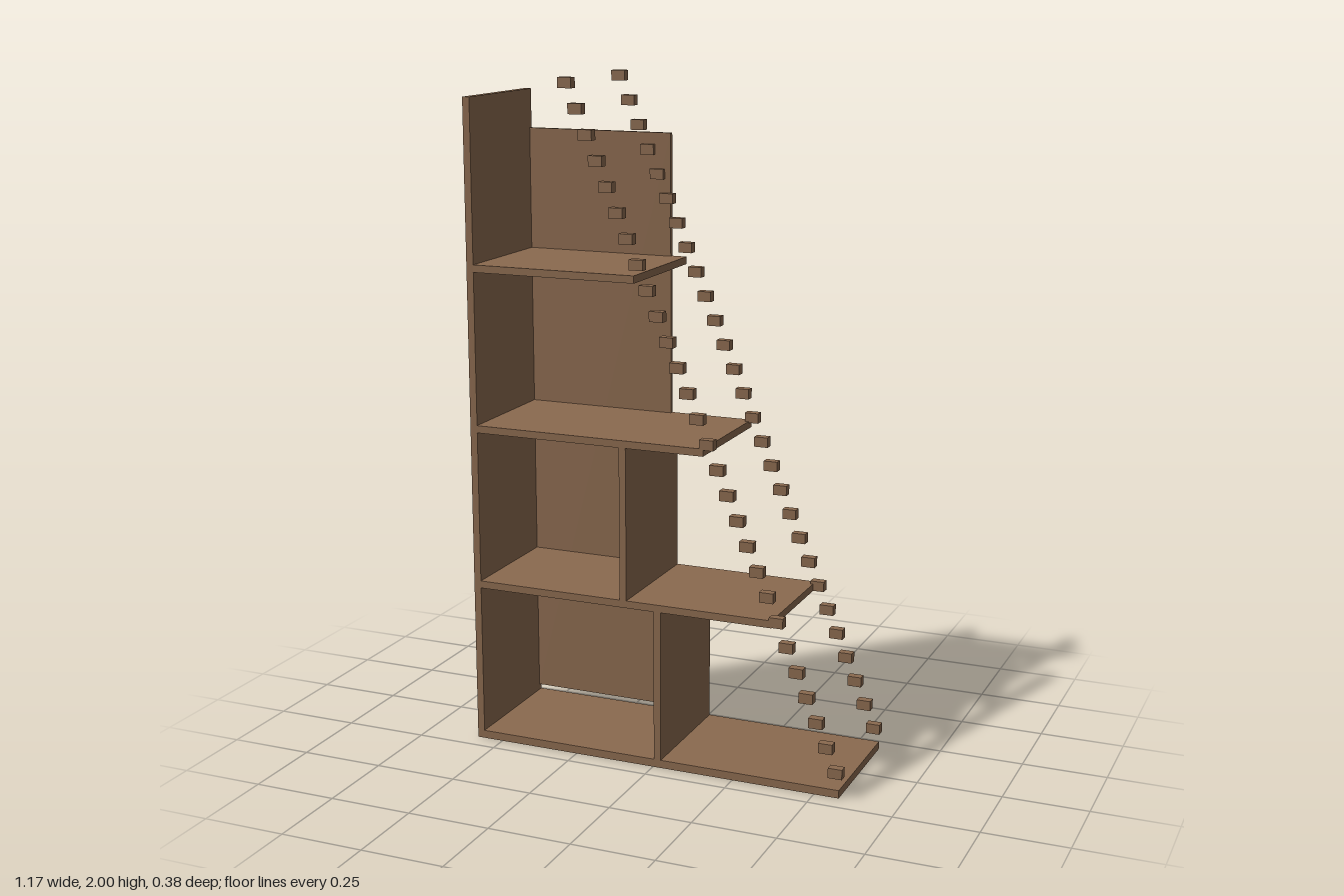
import * as THREE from 'three';

export function createModel() {
  const model = new THREE.Group();
  const wood = new THREE.MeshStandardMaterial({ color: 0x8b6a4f });
  wood.name = 'brown wood';

  const D = 0.192; // half depth
  const LEFT = -0.583;
  const INNER = -0.561; // inner face of the tall side panel

  // Box given by its two extremes on each axis
  function board(name, x0, x1, y0, y1, z0 = -D, z1 = D, parent = model) {
    const mesh = new THREE.Mesh(new THREE.BoxGeometry(x1 - x0, y1 - y0, z1 - z0), wood);
    mesh.position.set((x0 + x1) / 2, (y0 + y1) / 2, (z0 + z1) / 2);
    mesh.name = name;
    parent.add(mesh);
  }

  // Carcass
  board('basePlank', LEFT, 0.575, 0, 0.024);
  board('sidePanel', LEFT, INNER, 0.024, 1.938);
  board('backPanel', INNER, -0.1, 0.042, 1.822, -D, -0.18);

  // Shelves, shorter towards the top: [right end, bottom height]
  [[0.366, 0.481], [0.156, 0.96], [-0.054, 1.437]].forEach(([end, y], i) =>
    board(`shelf${i + 1}`, INNER, end, y, y + 0.022));

  // Upright dividers
  board('lowerDivider', 0.003, 0.025, 0.024, 0.481);
  board('upperDivider', -0.104, -0.083, 0.503, 0.96);

  // Two slanted rows of small blocks, along the front and back edges
  const COUNT = 28;
  for (const side of [1, -1]) {
    const row = new THREE.Group();
    row.name = side > 0 ? 'frontBlockRow' : 'backBlockRow';
    for (let i = 0; i < COUNT; i++) {
      const t = i / (COUNT - 1);
      const x = THREE.MathUtils.lerp(0.562, -0.262, t);
      const y = THREE.MathUtils.lerp(0.072, 1.985, t);
      const z = side * (D - 0.013);
      board('block', x - 0.021, x + 0.021, y - 0.015, y + 0.015, z - 0.013, z + 0.013, row);
    }
    model.add(row);
  }
  return model;
}
